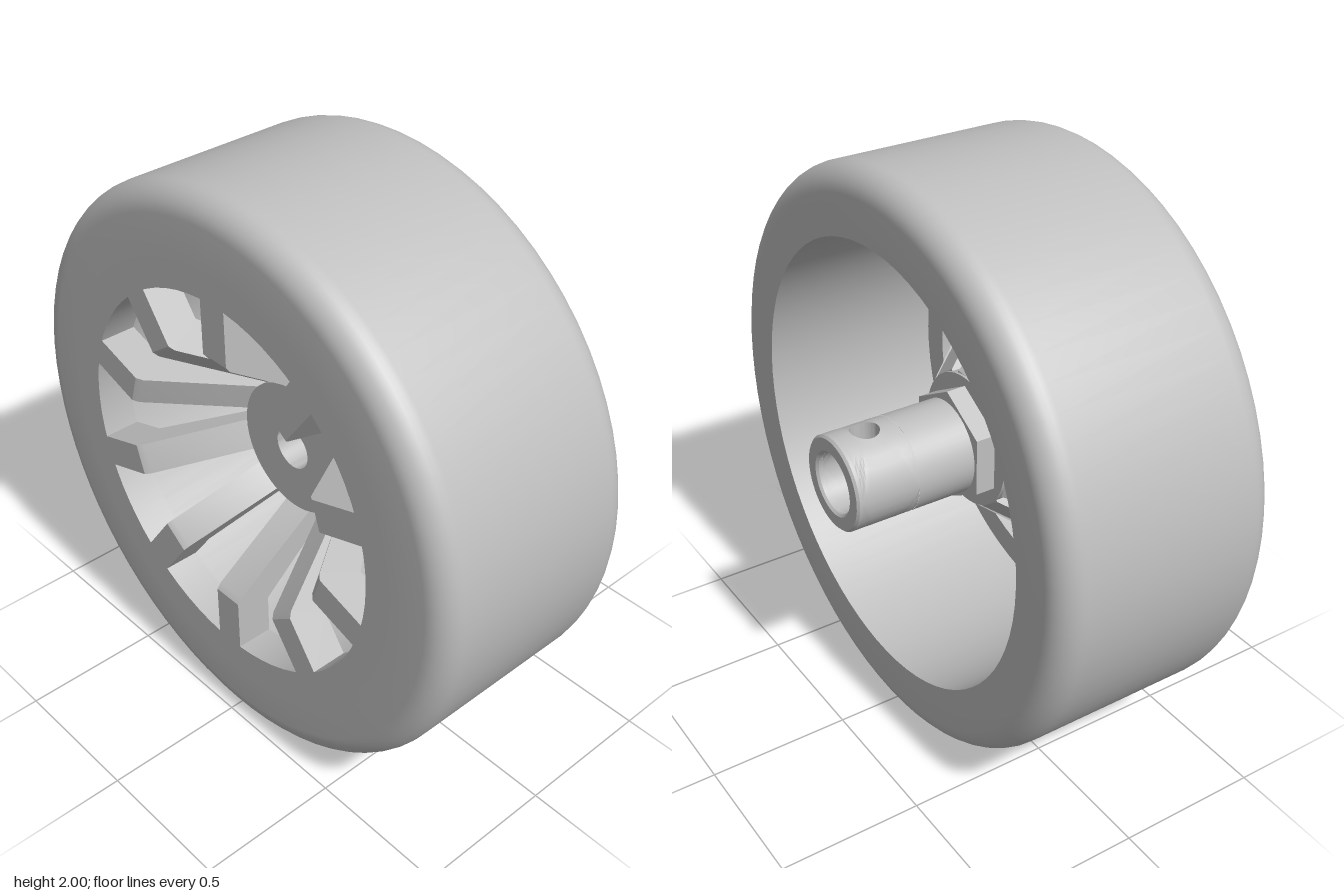
import * as THREE from 'three';
import { mergeGeometries, toCreasedNormals } from 'three/addons/utils/BufferGeometryUtils.js';
import { ParametricGeometry } from 'three/addons/geometries/ParametricGeometry.js';

const SPOKES = 10;
const SHAFT_R = 0.165, BORE_R = 0.105, PIN_R = 0.05, PIN_Z = -0.365, PATCH = 0.105;

export function createModel() {
  const model = new THREE.Group();
  model.name = 'wheel';
  const wheel = new THREE.Group();
  wheel.name = 'wheelAssembly';
  wheel.position.y = 1;
  model.add(wheel);

  const grey = new THREE.MeshStandardMaterial({ color: 0xbfbfbf });
  grey.name = 'grey';

  const add = (name, geometry, parent = wheel) => {
    const mesh = new THREE.Mesh(toCreasedNormals(geometry, 0.6), grey);
    mesh.name = name;
    parent.add(mesh);
    return mesh;
  };
  // Turned part: points are [radius, z]
  const turned = (points, segments) =>
    new THREE.LatheGeometry(points.map(([r, z]) => new THREE.Vector2(r, z)), segments).rotateX(Math.PI / 2);

  // Tire with rounded shoulders
  const shoulder = (z, start) => Array.from({ length: 9 }, (_, i) => {
    const a = start + (i / 8) * Math.PI / 2;
    return [0.91 + 0.09 * Math.cos(a), z + 0.09 * Math.sin(a)];
  });
  add('tire', turned([
    [0.77, -0.31], ...shoulder(-0.22, -Math.PI / 2), ...shoulder(0.4, 0), [0.77, 0.49], [0.77, -0.31],
  ], 72));

  // Front rim flange
  add('rimFlange', turned([[0.67, 0.36], [0.77, 0.36], [0.77, 0.49], [0.67, 0.49], [0.67, 0.36]], 72));

  // Bent spokes running from the recessed hub to the front rim
  const spokeShape = new THREE.Shape([
    [0.2, 0.1], [0.455, 0.475], [0.475, 0.49], [0.675, 0.49],
    [0.675, 0.36], [0.52, 0.36], [0.235, 0.03], [0.2, 0.03],
  ].map(([r, z]) => new THREE.Vector2(r, z)));
  const spokeGeometry = new THREE.ExtrudeGeometry(spokeShape, { depth: 0.11, bevelEnabled: false });
  spokeGeometry.translate(0, 0, -0.055).rotateX(Math.PI / 2);
  const spokes = new THREE.Group();
  spokes.name = 'spokes';
  wheel.add(spokes);
  for (let i = 0; i < SPOKES; i++) {
    add('spoke', spokeGeometry, spokes).rotation.z = Math.PI / 2 + (i / SPOKES) * Math.PI * 2;
  }

  // Hub with stepped bore, continuing into the shaft
  add('hub', turned([
    [SHAFT_R, PIN_Z + PATCH], [SHAFT_R, 0.02], [0.235, 0.02], [0.235, 0.19], [0.075, 0.19],
    [0.075, 0], [0.05, 0], [0.05, -0.1], [BORE_R, -0.1], [BORE_R, PIN_Z + PATCH],
  ], 48));

  // Hexagonal collar behind the hub
  const hex = new THREE.Shape(Array.from({ length: 6 }, (_, i) => {
    const a = Math.PI / 2 + i * Math.PI / 3;
    return new THREE.Vector2(0.205 * Math.cos(a), 0.205 * Math.sin(a));
  }));
  hex.holes.push(new THREE.Path().absarc(0, 0, 0.15, 0, Math.PI * 2, true));
  add('hexCollar', new THREE.ExtrudeGeometry(hex, { depth: 0.08, bevelEnabled: false }).translate(0, 0, -0.05));

  // Shaft section with a cross hole: each half runs bore wall, hole wall, outer wall
  const half = (u, v, target) => {
    const k = v * 13;
    const t = k < 6 ? 1 - k / 6 : Math.max(0, (k - 7) / 6);
    const R = THREE.MathUtils.lerp(BORE_R, SHAFT_R, THREE.MathUtils.clamp(k - 6, 0, 1));
    const p = u * 4, side = Math.min(3, Math.floor(p)), s = 2 * (p - side) - 1;
    const [ex, ez] = [[1, s], [-s, 1], [-1, -s], [s, -1]][side];
    const a = Math.atan2(ez, ex);
    const theta = THREE.MathUtils.lerp(Math.asin(PIN_R * Math.cos(a) / R), ex * Math.PI / 2, t);
    const z = PIN_Z + THREE.MathUtils.lerp(PIN_R * Math.sin(a), ez * PATCH, t);
    target.set(R * Math.sin(theta), R * Math.cos(theta), z);
  };
  const upper = new ParametricGeometry(half, 48, 13);
  add('drilledShaft', mergeGeometries([upper, upper.clone().rotateZ(Math.PI)]));

  // Chamfered shaft end
  const endZ = PIN_Z - PATCH;
  add('shaftEnd', turned([
    [BORE_R, endZ], [BORE_R, -0.482], [BORE_R + 0.008, -0.49],
    [SHAFT_R - 0.008, -0.49], [SHAFT_R, -0.482], [SHAFT_R, endZ],
  ], 48));

  return model;
}
